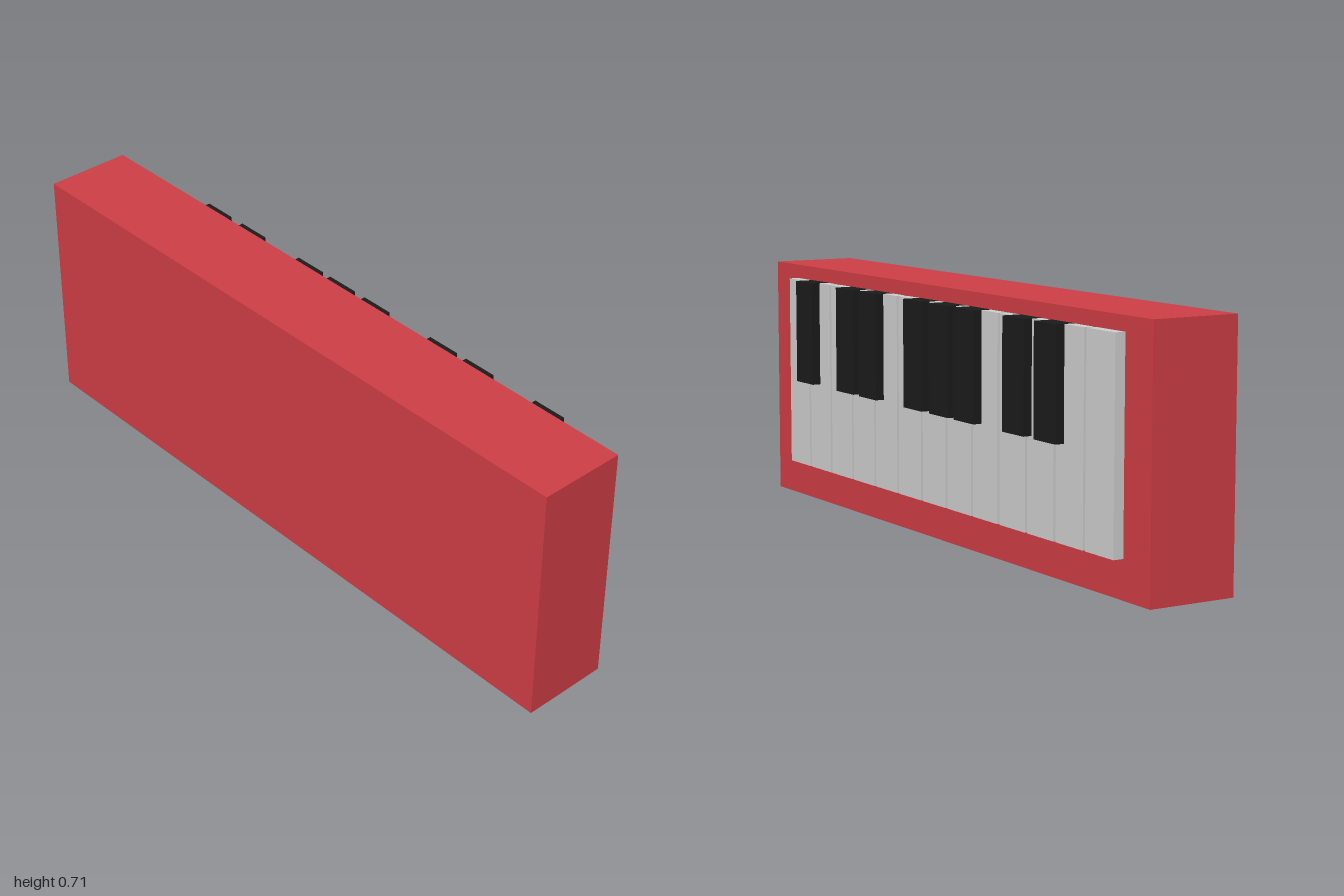
import * as THREE from 'three';

const material = (color) => new THREE.MeshStandardMaterial({ color, flatShading: true });

// Box given by its lower and upper corners
function block(name, mat, [x0, y0, z0], [x1, y1, z1]) {
  const mesh = new THREE.Mesh(new THREE.BoxGeometry(x1 - x0, y1 - y0, z1 - z0), mat);
  mesh.position.set((x0 + x1) / 2, (y0 + y1) / 2, (z0 + z1) / 2);
  mesh.name = name;
  return mesh;
}

export function createModel() {
  const model = new THREE.Group();
  model.name = 'keyboard';

  const red = material(0xcc3d45);
  const white = material(0xcccccc);
  const black = material(0x1a1a1a);
  const faceX = 0.1, keyTop = 0.673;

  // Case
  model.add(block('case', red, [-0.156, 0, -1], [faceX, 0.714, 1]));

  // Thirteen white keys in an even row
  const whiteKeys = new THREE.Group();
  whiteKeys.name = 'whiteKeys';
  for (let i = 0; i < 13; i++) {
    const z = 0.798 - i * 0.135;
    whiteKeys.add(block('whiteKey', white, [faceX, 0.106, z - 0.0625], [0.13, keyTop, z + 0.0625]));
  }
  model.add(whiteKeys);

  // Black keys, shorter and standing further out
  const blackKeys = new THREE.Group();
  blackKeys.name = 'blackKeys';
  for (const z of [0.716, 0.461, 0.324, 0.062, -0.079, -0.212, -0.459, -0.61]) {
    blackKeys.add(block('blackKey', black, [faceX, 0.367, z - 0.051], [0.156, keyTop + 0.0005, z + 0.051]));
  }
  model.add(blackKeys);

  return model;
}
